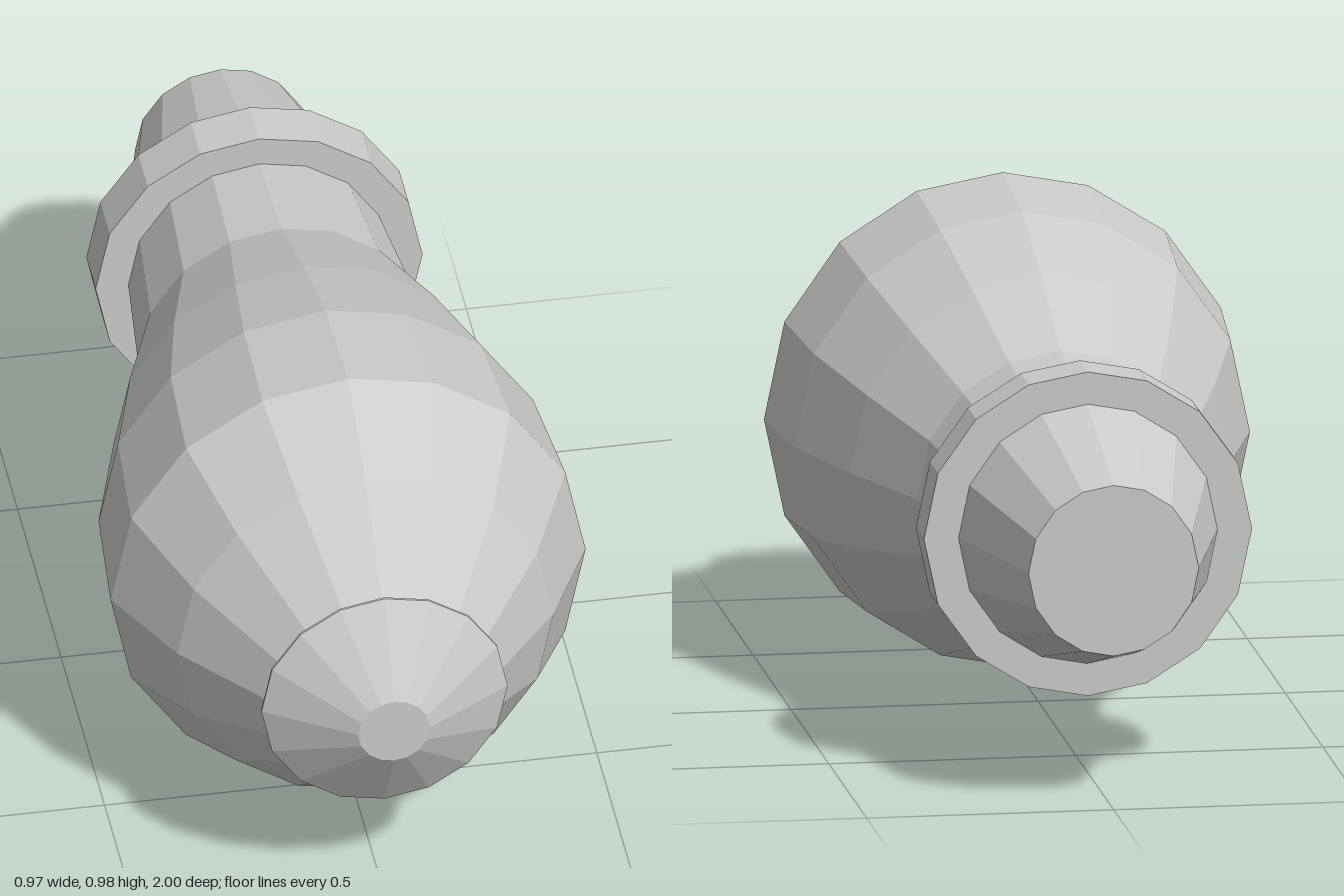
import * as THREE from 'three';

const SIDES = 16;
const AXIS_HEIGHT = 0.493;

// Faceted turned part lying along z; profile rows are [radius, z], back to front
function turned(name, profile) {
  const points = profile.map(([r, z]) => new THREE.Vector2(r, z));
  const geometry = new THREE.LatheGeometry(points, SIDES);
  geometry.rotateX(Math.PI / 2);

  // Slightly uneven facets: the diagonal corners lean towards the vertical
  const pos = geometry.attributes.position;
  for (let i = 0; i < pos.count; i++) {
    const x = pos.getX(i), y = pos.getY(i);
    const r = Math.hypot(x, y);
    const a = Math.atan2(x, y);
    const b = a - 0.035 * Math.sin(2 * a);
    pos.setXY(i, r * Math.sin(b), r * Math.cos(b));
  }
  geometry.computeVertexNormals();

  const material = new THREE.MeshStandardMaterial({ color: 0xcccccc, flatShading: true });
  const mesh = new THREE.Mesh(geometry, material);
  mesh.name = name;
  mesh.position.y = AXIS_HEIGHT;
  return mesh;
}

export function createModel() {
  const model = new THREE.Group();
  model.name = 'bulbousNozzle';

  // Bulb narrowing to a tapered neck with a flat back end
  const body = turned('body', [
    [0, -1], [0.175, -1], [0.266, -0.66], [0.27, -0.55], [0.295, -0.3],
    [0.392, -0.04], [0.468, 0.21], [0.49, 0.47], [0.388, 0.67], [0.222, 0.87], [0, 0.87],
  ]);
  body.scale.x = 0.985;

  // Raised band around the neck
  const collar = turned('collar', [
    [0.24, -0.66], [0.332, -0.66], [0.332, -0.553], [0.24, -0.553],
  ]);

  // Blunt cone closing the front
  const cap = turned('frontCap', [
    [0, 0.866], [0.22, 0.866], [0.25, 0.885], [0.25, 0.89], [0.073, 1], [0, 1],
  ]);

  model.add(body, collar, cap);
  return model;
}
